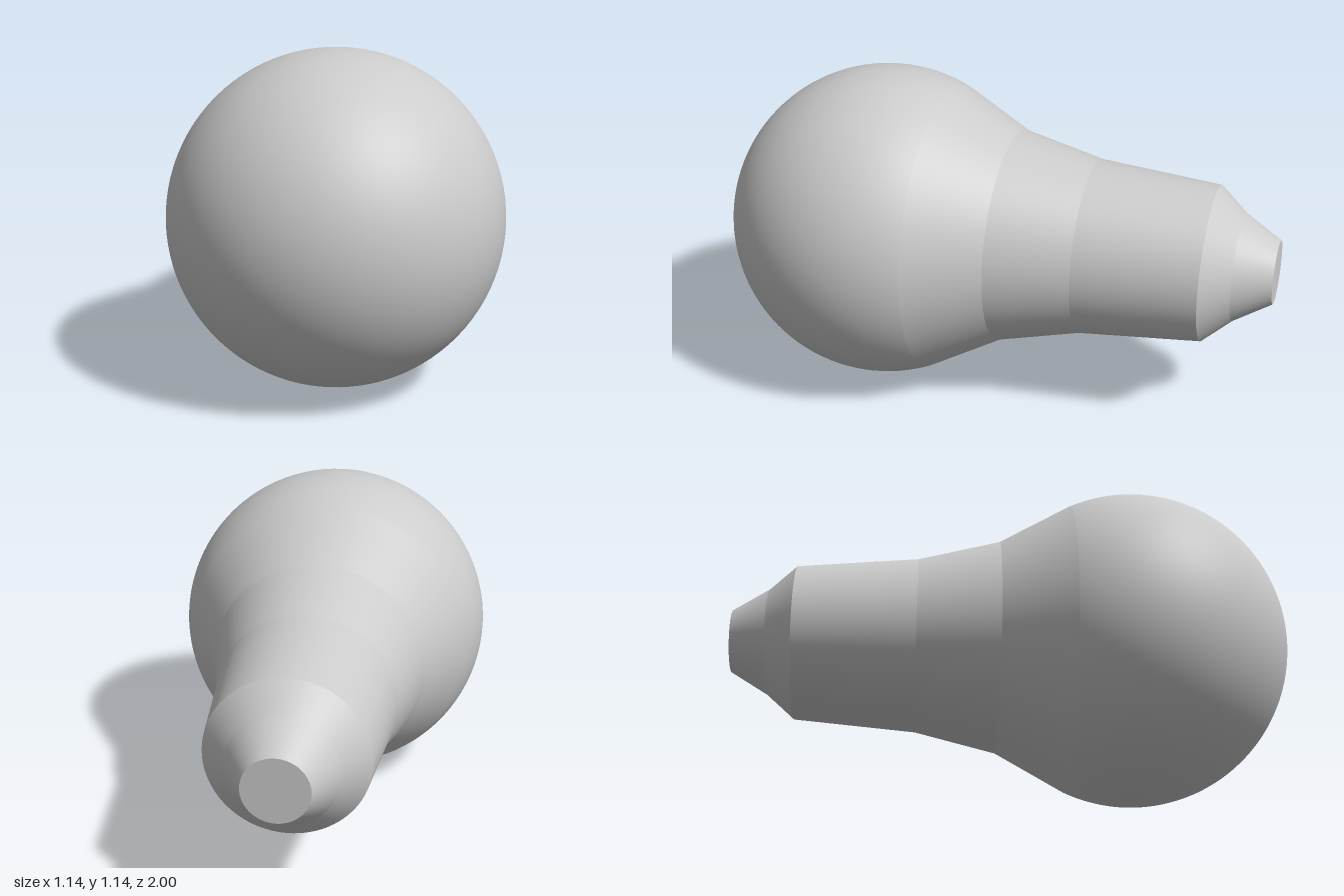
import * as THREE from 'three';

const SEGMENTS = 96;
const R = 0.568; // bulb radius
const CENTRE_Z = 1 - R;

export function createModel() {
  const group = new THREE.Group();
  const material = new THREE.MeshStandardMaterial({ color: 0xcccccc });

  function add(name, geometry, z) {
    geometry.rotateX(Math.PI / 2); // lay the axis along z
    const mesh = new THREE.Mesh(geometry, material);
    mesh.name = name;
    mesh.position.set(0, R, z);
    group.add(mesh);
  }

  // Round glass bulb, open at the back where the neck begins
  const neckZ = 0.2;
  const theta = Math.acos((neckZ - CENTRE_Z) / R);
  add('bulb', new THREE.SphereGeometry(R, SEGMENTS, 48, 0, Math.PI * 2, 0, theta), CENTRE_Z);

  // Conical sections running to the back: name, rear z, rear radius
  const sections = [
    ['neckFlare', -0.05, 0.383],
    ['neck', -0.34, 0.313],
    ['socketSleeve', -0.772, 0.276],
    ['socketShoulder', -0.87, 0.19],
    ['contactTip', -1, 0.112],
  ];
  let frontZ = neckZ;
  let frontR = R * Math.sin(theta);
  for (const [name, z, r] of sections) {
    add(name, new THREE.CylinderGeometry(frontR, r, frontZ - z, SEGMENTS, 1, true), (frontZ + z) / 2);
    frontZ = z;
    frontR = r;
  }

  // Flat end face, turned to look backwards
  const cap = new THREE.CircleGeometry(frontR, SEGMENTS);
  cap.rotateX(Math.PI / 2);
  add('contactFace', cap, frontZ);

  return group;
}
